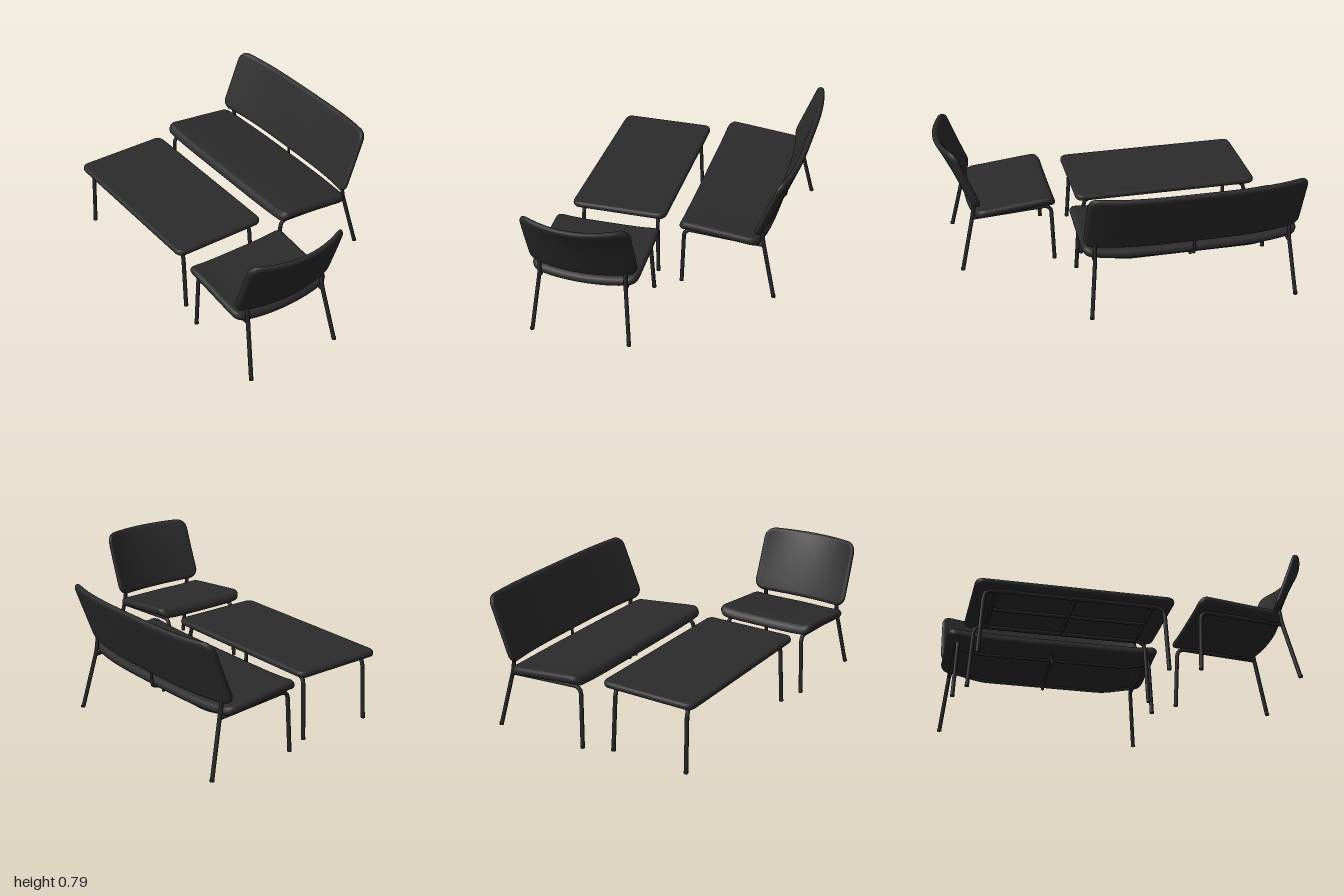
import * as THREE from 'three';

const fabric = new THREE.MeshStandardMaterial({ color: 0x2b2b2b, side: THREE.DoubleSide });
fabric.name = 'charcoal fabric';
const steel = new THREE.MeshStandardMaterial({ color: 0x282828, side: THREE.DoubleSide });
steel.name = 'black steel';

const V = (x, y, z) => new THREE.Vector3(x, y, z);

function add(parent, geometry, material, name) {
  const mesh = new THREE.Mesh(geometry, material);
  mesh.name = name;
  parent.add(mesh);
  return mesh;
}

// Rounded slab lofted across x from stadium-like sections, then bent by a rule
function slab(hw, hd, thick, corner, edge, bend) {
  const h = thick / 2, xs = [], ring = [], index = [], pos = [];
  for (let i = 0; i <= 8; i++) xs.push(hw - corner + corner * Math.sin((i / 8) * Math.PI / 2));
  const stations = [...xs.map(x => -x).reverse()];
  for (let i = 1; i < 20; i++) stations.push((hw - corner) * (i / 10 - 1));
  stations.push(...xs);

  // section points: [side, cos, sin] with flat runs between two half rounds
  for (const s of [1, -1]) {
    for (let i = 0; i <= 8; i++) {
      const a = (i / 8 - 0.5) * Math.PI;
      ring.push([s, s * Math.cos(a), s * Math.sin(a)]);
    }
    for (let i = 1; i < 8; i++) ring.push([s * (1 - i / 4), 0, s]);
  }
  const n = ring.length;
  stations.forEach((x, k) => {
    const d = Math.max(0, hw - Math.abs(x));
    const c = Math.max(0, corner - d);
    const depth = hd - corner + Math.sqrt(Math.max(0, corner * corner - c * c));
    const hh = d < edge ? h * Math.sqrt(Math.max(0, 1 - ((edge - d) / edge) ** 2)) : h;
    for (const [s, co, si] of ring) {
      const p = bend(V(x, hh * si, s * (depth - edge) + edge * co));
      pos.push(p.x, p.y, p.z);
    }
    if (k) for (let j = 0; j < n; j++) {
      const a = (k - 1) * n + j, b = (k - 1) * n + (j + 1) % n;
      index.push(a, a + n, b, b, a + n, b + n);
    }
  });
  const g = new THREE.BufferGeometry();
  g.setAttribute('position', new THREE.Float32BufferAttribute(pos, 3));
  // make sure the faces look outwards
  let volume = 0;
  const P = i => V(pos[3 * i], pos[3 * i + 1], pos[3 * i + 2]);
  for (let i = 0; i < index.length; i += 3) volume += P(index[i]).dot(P(index[i + 1]).cross(P(index[i + 2])));
  g.setIndex(volume < 0 ? index.reverse() : index);
  g.computeVertexNormals();
  return g;
}

// Round tube along a polyline with softened corners
function tube(parent, name, pts, r = 0.012, bendSize = 0.05) {
  const path = new THREE.CurvePath();
  let from = pts[0];
  for (let i = 1; i < pts.length; i++) {
    const p = pts[i];
    if (i === pts.length - 1) { path.add(new THREE.LineCurve3(from, p)); break; }
    const a = p.clone().add(pts[i - 1].clone().sub(p).setLength(bendSize));
    const b = p.clone().add(pts[i + 1].clone().sub(p).setLength(bendSize));
    path.add(new THREE.LineCurve3(from, a));
    path.add(new THREE.QuadraticBezierCurve3(a, p, b));
    from = b;
  }
  add(parent, new THREE.TubeGeometry(path, pts.length > 2 ? 48 : 1, r, 10), steel, name);
}

function foot(parent, x, z) {
  add(parent, new THREE.CylinderGeometry(0.013, 0.013, 0.012, 12), steel, 'foot').position.set(x, 0.006, z);
}

// Seat with front edge at z = 0, facing +z; flare curls the middle of the back's top rearwards
function makeSeat(name, hw, backPower, flare) {
  const g = new THREE.Group();
  g.name = name;
  const w = hw - 0.064;

  add(g, slab(hw - 0.003, 0.237, 0.055, 0.05, 0.03, p => {
    const z = p.z - 0.237, u = Math.abs(p.x / hw);
    const back = THREE.MathUtils.clamp(-z / 0.47, 0, 1);
    const droop = 6 * Math.max(0, z + 0.06) ** 2;
    const bow = back * (1 - u ** backPower);
    return V(p.x,
      p.y + 0.402 + 0.108 * (z + 0.05) - droop + 0.016 * u ** 5 - 0.008 * bow,
      z - 0.04 * bow);
  }), fabric, 'seat cushion');

  // leaning, curved backrest
  add(g, slab(hw, 0.187, 0.036, 0.06, 0.022, p => {
    const k = Math.abs(p.x / hw) ** backPower;
    const y = 0.59 - p.z, t = Math.max(0, (y - 0.4) / 0.38);
    return V(p.x * (1 - 0.012 * t),
      y + 0.012 * k + p.y * 0.36,
      -0.51 - 0.4 * (y - 0.42) + 0.052 * k + flare * t ** 3 * (k - 0.7) + p.y * 0.93);
  }), fabric, 'backrest');

  // side frames, rear legs and short back posts
  for (const s of [-1, 1]) {
    const xf = s * (w + 0.017), xr = s * (w + 0.036);
    tube(g, 'front leg and seat rail', [V(xf, 0, -0.012), V(s * w, 0.362, -0.024), V(s * w, 0.332, -0.497)]);
    tube(g, 'rear leg and back post', [V(xr, 0, -0.578), V(s * w, 0.35, -0.498), V(s * w, 0.44, -0.486)], 0.012, 0.03);
    foot(g, xf, -0.012);
    foot(g, xr, -0.578);
  }
  return g;
}

function makeSofa() {
  const g = makeSeat('sofa', 0.637, 3.5, 0);
  // crossbars under the seat: [end height, middle height, half length of the middle, z]
  for (const [ye, ym, m, z] of [[0.35, 0.32, 0.45, -0.1], [0.335, 0.294, 0.38, -0.435]])
    tube(g, 'crossbar', [V(-0.57, ye, z), V(-m, ym, z), V(m, ym, z), V(0.57, ye, z)], 0.009);
  tube(g, 'centre rail', [V(0, 0.338, -0.05), V(0, 0.303, -0.45)], 0.008);
  tube(g, 'centre post', [V(0, 0.303, -0.44), V(0, 0.325, -0.515), V(0, 0.45, -0.522)], 0.009, 0.02);
  for (const [y, z] of [[0.326, -0.1], [0.298, -0.435]])
    add(g, new THREE.CylinderGeometry(0.013, 0.009, 0.052, 12), steel, 'rail bracket').position.set(0, y, z);
  return g;
}

function makeTable() {
  const g = new THREE.Group();
  g.name = 'table';
  add(g, slab(0.56, 0.29, 0.038, 0.05, 0.018, p => p.setY(p.y + 0.405)), fabric, 'table top');
  for (const s of [-1, 1]) {
    const z = s * 0.23, zf = s * 0.237;
    tube(g, 'leg loop', [V(-0.527, 0, zf), V(-0.505, 0.378, z), V(0.505, 0.378, z), V(0.527, 0, zf)]);
    foot(g, -0.527, zf);
    foot(g, 0.527, zf);
  }
  for (const x of [-0.44, 0, 0.44])
    tube(g, 'table crossbar', [V(x, 0.378, -0.23), V(x, 0.378, 0.23)], 0.01);
  tube(g, 'table centre rail', [V(-0.44, 0.378, 0), V(0.44, 0.378, 0)], 0.01);
  return g;
}

export function createModel() {
  const model = new THREE.Group();
  model.name = 'lounge set';

  const sofa = makeSofa();
  sofa.position.set(-0.362, 0, -0.028);

  const chair = makeSeat('armchair', 0.316, 2, 0.035);
  chair.rotation.y = -Math.PI / 2;
  chair.position.set(0.325, 0, 0.368);

  const table = makeTable();
  table.position.set(-0.36, 0, 0.36);

  model.add(sofa, chair, table);
  return model;
}
